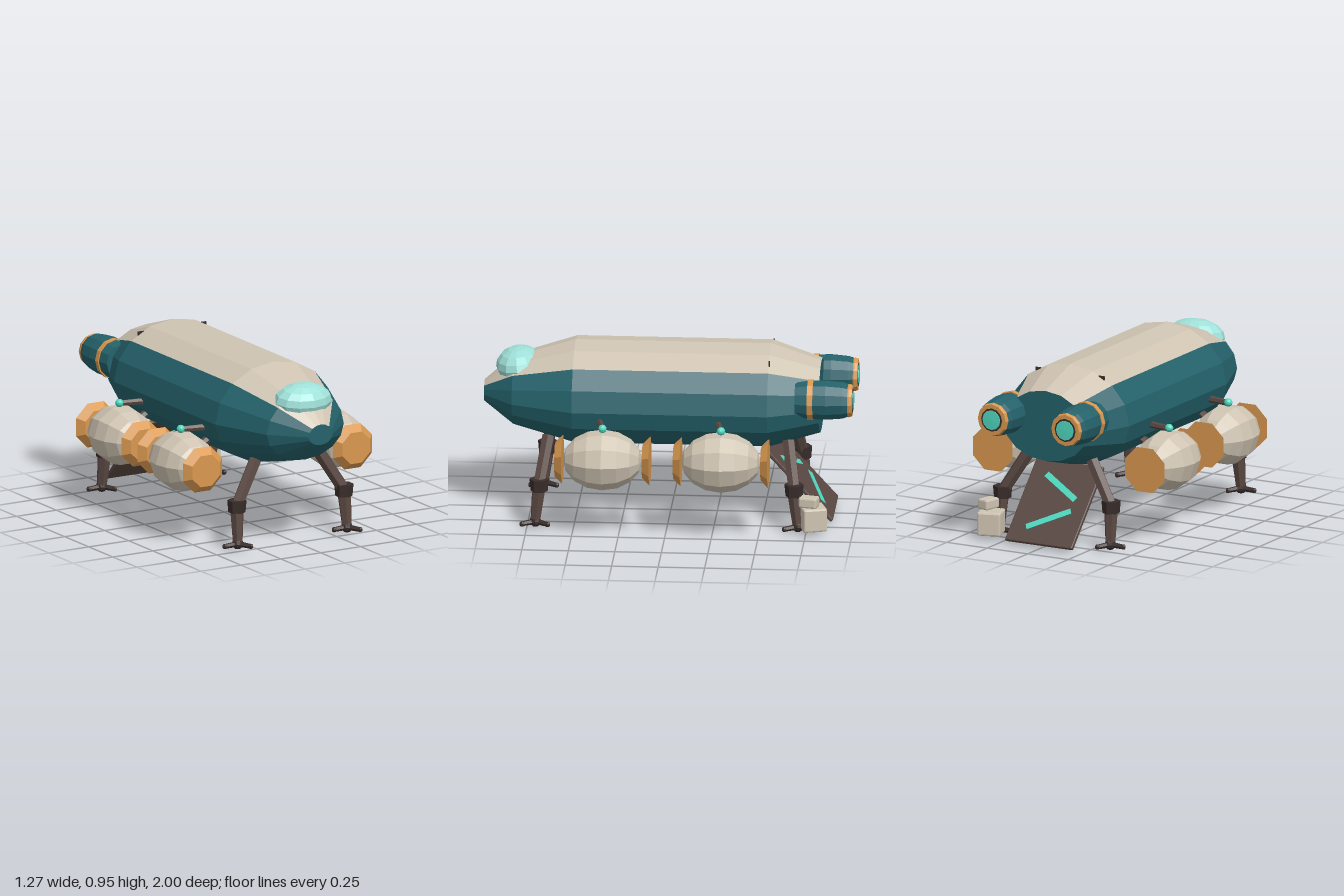
import * as THREE from 'three';
import { RoundedBoxGeometry } from 'three/addons/geometries/RoundedBoxGeometry.js';

const paint = (color) => new THREE.MeshStandardMaterial({ color, flatShading: true });
const TEAL = paint(0x24616a), CREAM = paint(0xcfc4b2), ORANGE = paint(0xd9984f);
const BROWN = paint(0x5a4842), DARK = paint(0x3a2e2c), GLOW = paint(0x4fd8bf), GLASS = paint(0x9fe0d8);
const V = (x, y, z) => new THREE.Vector3(x, y, z);

function add(parent, name, geometry, material, x = 0, y = 0, z = 0) {
  const mesh = new THREE.Mesh(geometry, material);
  mesh.name = name;
  mesh.position.set(x, y, z);
  parent.add(mesh);
  return mesh;
}

// Cylinder running from point a (radius ra) to point b (radius rb)
function strut(parent, name, a, b, ra, rb = ra, material = BROWN, sides = 6) {
  const dir = b.clone().sub(a);
  const mesh = add(parent, name, new THREE.CylinderGeometry(rb, ra, dir.length(), sides), material);
  mesh.position.copy(a).add(b).multiplyScalar(0.5);
  mesh.quaternion.setFromUnitVectors(V(0, 1, 0), dir.normalize());
  return mesh;
}

// Hull stations: z and scale of the 16-sided section
const STATIONS = [[1, 0.205], [0.84, 0.66], [0.51, 1], [-0.54, 1], [-0.81, 0.7]];
function hullPoint(i, [z, s]) {
  const t = (i * Math.PI) / 8, c = Math.cos(t);
  return [0.365 * s * Math.sin(t), 0.65 + s * c * (c > 0 ? 0.3 : 0.255), z];
}
function hullStrip(from, to, caps) {
  const p = [];
  for (let k = 0; k < STATIONS.length - 1; k++) {
    for (let i = from; i < to; i++) {
      const a = hullPoint(i, STATIONS[k]), b = hullPoint(i + 1, STATIONS[k]);
      const c = hullPoint(i, STATIONS[k + 1]), d = hullPoint(i + 1, STATIONS[k + 1]);
      p.push(...a, ...b, ...c, ...b, ...d, ...c);
    }
  }
  if (caps) {
    const first = STATIONS[0], last = STATIONS[STATIONS.length - 1];
    for (let i = 0; i < 16; i++) {
      p.push(0, 0.65, first[0], ...hullPoint(i + 1, first), ...hullPoint(i, first));
      p.push(0, 0.65, last[0], ...hullPoint(i, last), ...hullPoint(i + 1, last));
    }
  }
  const g = new THREE.BufferGeometry();
  g.setAttribute('position', new THREE.Float32BufferAttribute(p, 3));
  g.computeVertexNormals();
  return g;
}

// Side pod: faceted barrel with two flared rings, held by arms from the hull
function pod(parent, side, z) {
  const g = new THREE.Group();
  g.name = 'sidePod';
  parent.add(g);
  const x = side * 0.47, y = 0.425;
  const barrel = new THREE.SphereGeometry(0.163, 10, 8);
  barrel.rotateX(Math.PI / 2);
  barrel.scale(1, 1, 1.31);
  add(g, 'podBarrel', barrel, CREAM, x, y, z);
  for (const dz of [-0.235, 0.235]) {
    const ring = new THREE.CylinderGeometry(0.093, 0.132, 0.04, 8);
    ring.rotateY(Math.PI / 8);
    ring.rotateX(Math.PI / 2);
    add(g, 'podEndCap', ring, ORANGE, x, y, z + dz);
  }
  strut(g, 'upperArm', V(side * 0.3, 0.6, z + 0.035), V(side * 0.465, 0.6, z), 0.02, 0.016);
  strut(g, 'lowerArm', V(side * 0.26, 0.55, z), V(side * 0.4, 0.47, z), 0.022);
  add(g, 'armLight', new THREE.IcosahedronGeometry(0.023, 1), GLOW, side * 0.475, 0.602, z);
}

// Landing leg with a knee and a three-toed foot
function leg(parent, side, end) {
  const g = new THREE.Group();
  g.name = 'landingLeg';
  parent.add(g);
  const hip = V(side * 0.195, 0.465, end * 0.645);
  const knee = V(side * 0.335, 0.235, end * 0.685);
  const ankle = V(side * 0.342, 0.035, end * 0.705);
  strut(g, 'thigh', hip, knee, 0.036, 0.034);
  strut(g, 'kneeJoint', knee.clone().add(V(0, 0.032, 0)), knee.clone().add(V(0, -0.035, 0)), 0.052, 0.046, DARK);
  strut(g, 'shin', knee, ankle, 0.04, 0.028);
  add(g, 'footPad', new THREE.SphereGeometry(0.032, 8, 6), DARK, ankle.x, 0.032, ankle.z);
  for (let i = 0; i < 3; i++) {
    const a = Math.PI + (i * Math.PI * 2) / 3;
    const tip = V(ankle.x + 0.08 * Math.cos(a), 0.026, ankle.z + 0.08 * Math.sin(a));
    strut(g, 'toe', V(ankle.x, 0.03, ankle.z), tip, 0.016, 0.013, DARK);
    add(g, 'toeTip', new THREE.SphereGeometry(0.015, 6, 5), DARK, tip.x, tip.y, tip.z);
  }
}

// Rear engine, turned around the z axis
function engine(parent, side) {
  const g = new THREE.Group();
  g.name = 'engine';
  g.position.set(side * 0.227, 0.71, 0);
  g.rotation.x = -Math.PI / 2;
  parent.add(g);
  const turned = (name, pts, mat) =>
    add(g, name, new THREE.LatheGeometry(pts.map(([r, h]) => new THREE.Vector2(r, h)), 12), mat);
  turned('engineBody', [[0, 0.685], [0.095, 0.685], [0.105, 0.75], [0.108, 0.85], [0.1, 0.94], [0.088, 0.975], [0, 0.975]], TEAL);
  turned('engineBand', [[0.1, 0.752], [0.111, 0.752], [0.111, 0.782], [0.1, 0.782]], ORANGE);
  turned('nozzleRing', [[0.09, 0.965], [0.092, 0.975], [0.086, 0.992], [0.062, 0.992], [0.062, 0.975]], ORANGE);
  turned('nozzleLiner', [[0.064, 0.97], [0.064, 0.994], [0.054, 0.994], [0.054, 0.97]], DARK);
  turned('nozzleGlow', [[0.054, 0.97], [0.054, 0.998], [0, 1]], GLOW);
}

export function createModel() {
  const model = new THREE.Group();
  model.name = 'spaceship';

  // Hull and canopy
  add(model, 'lowerHull', hullStrip(2, 14, true), TEAL);
  add(model, 'roofPanel', hullStrip(-2, 2, false), CREAM);
  const canopy = new THREE.SphereGeometry(1, 12, 8);
  canopy.scale(0.168, 0.095, 0.125);
  add(model, 'canopy', canopy, GLASS, 0, 0.805, 0.815).rotation.x = 0.12;

  // Mirrored parts
  for (const side of [-1, 1]) {
    for (const z of [0.335, -0.302]) pod(model, side, z);
    for (const end of [-1, 1]) leg(model, side, end);
    engine(model, side);
    add(model, 'roofFin', new THREE.BoxGeometry(0.036, 0.03, 0.008), DARK, side * 0.195, 0.892, -0.542);
  }

  // Boarding ramp with chevron stripes
  const ramp = new THREE.Group();
  ramp.name = 'ramp';
  const top = V(0, 0.4, -0.535), foot = V(0, 0.022, -0.88);
  const length = top.distanceTo(foot);
  ramp.position.copy(top).add(foot).multiplyScalar(0.5);
  ramp.rotation.x = Math.atan2(top.z - foot.z, top.y - foot.y);
  model.add(ramp);
  add(ramp, 'rampPanel', new RoundedBoxGeometry(0.415, length, 0.022, 1, 0.006), BROWN);
  for (const s of [-1, 1]) {
    const stripe = add(ramp, 'rampStripe', new THREE.BoxGeometry(0.26, 0.034, 0.03), GLOW, -0.005, s * 0.1, 0);
    stripe.rotation.z = s * 0.52;
  }

  // Cargo beside the rear leg
  const crate = add(model, 'crate', new RoundedBoxGeometry(0.13, 0.13, 0.13, 1, 0.01), CREAM, 0.348, 0.085, -0.787);
  crate.rotation.y = 0.3;
  const box = add(model, 'smallCrate', new RoundedBoxGeometry(0.07, 0.058, 0.1, 1, 0.01), CREAM, 0.375, 0.182, -0.768);
  box.rotation.y = -0.25;

  return model;
}
